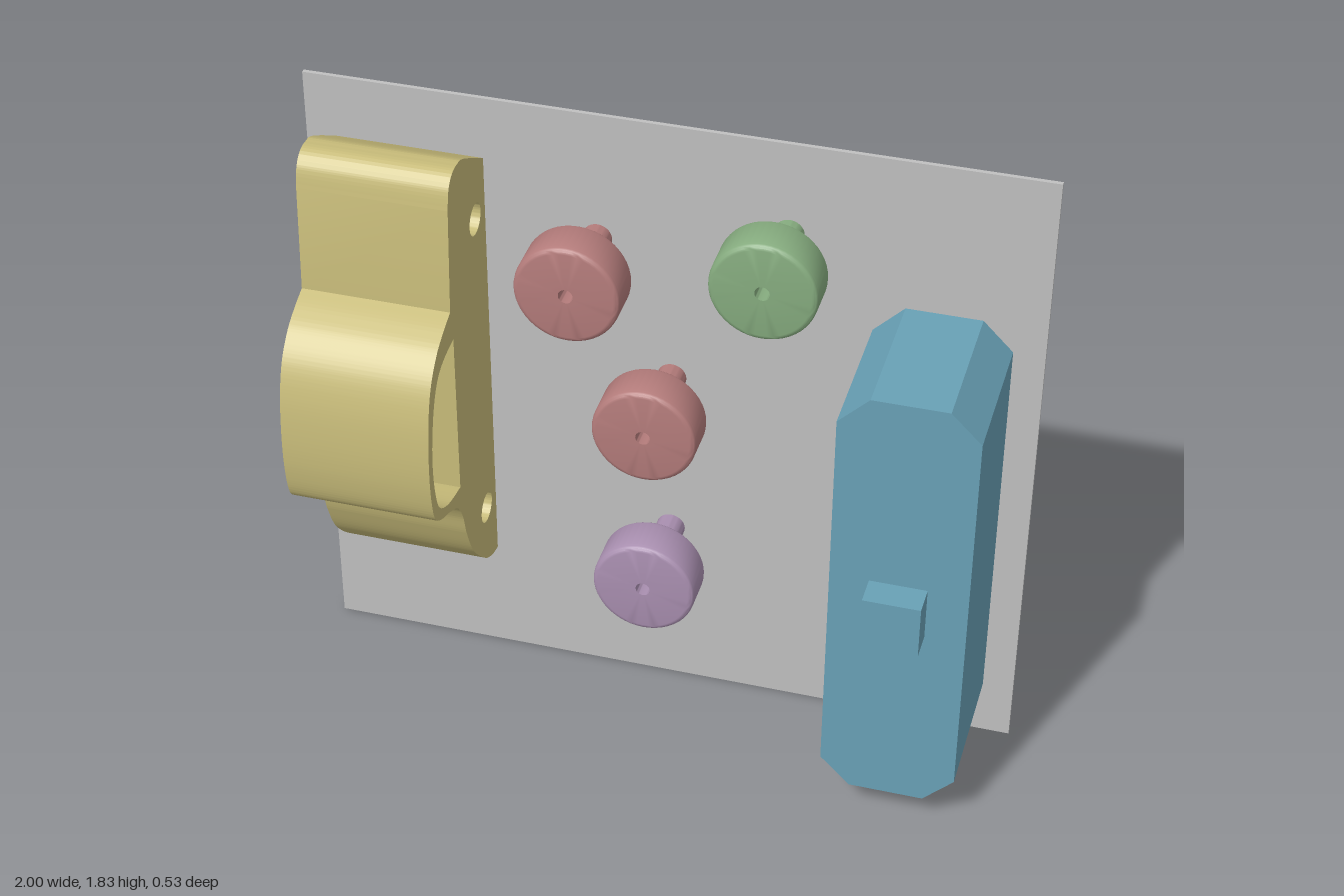
import * as THREE from 'three';
import { toCreasedNormals } from 'three/addons/utils/BufferGeometryUtils.js';

const paint = (name, color) => {
  const m = new THREE.MeshStandardMaterial({ color });
  m.name = name;
  return m;
};

const BACK = -0.25; // front surface of the board, where every part is mounted

export function createModel() {
  const grey = paint('grey', 0xc0c0c0);
  const tan = paint('tan', 0xc8bc7a);
  const red = paint('red', 0xb47c7b);
  const green = paint('green', 0x86ac7f);
  const purple = paint('purple', 0xa98fb0);
  const blue = paint('blue', 0x69a1b6);

  const model = new THREE.Group();
  model.name = 'wallPanel';
  const add = (name, geometry, material, x = 0, y = 0, z = 0) => {
    const mesh = new THREE.Mesh(geometry, material);
    mesh.name = name;
    mesh.position.set(x, y, z);
    model.add(mesh);
    return mesh;
  };
  const vectors = (points) => points.map(([x, y]) => new THREE.Vector2(x, y));

  // Backing board
  add('board', new THREE.BoxGeometry(2, 1.83, 0.012), grey, 0, 0.915, BACK - 0.006);

  // Holder: side profile (z, y) swept across its width
  const profile = new THREE.Shape();
  profile.moveTo(BACK, 0.345);
  profile.splineThru(vectors([[-0.2, 0.355], [-0.14, 0.39], [-0.05, 0.485], [0.0, 0.585], [0.025, 0.665],
    [0.06, 0.72], [0.12, 0.755], [0.195, 0.785], [0.24, 0.825], [0.26, 0.91], [0.263, 1.02],
    [0.25, 1.14], [0.22, 1.235], [0.167, 1.3], [0.11, 1.335], [0.05, 1.36]]));
  profile.lineTo(0.033, 1.66);
  profile.splineThru(vectors([[0.02, 1.715], [-0.01, 1.745], [-0.05, 1.75], [-0.1, 1.737], [BACK, 1.65]]));
  profile.closePath();

  // Grip opening
  const grip = new THREE.Path();
  grip.moveTo(0.035, 1.265);
  grip.splineThru(vectors([[0.11, 1.255], [0.167, 1.225], [0.205, 1.16], [0.23, 1.06],
    [0.235, 0.97], [0.222, 0.88], [0.195, 0.825], [0.13, 0.79], [0.035, 0.775]]));
  grip.closePath();
  profile.holes.push(grip);

  // Cross holes above and below the grip
  for (const y of [1.51, 0.55]) {
    const hole = new THREE.Path();
    hole.absarc(-0.17, y, 0.045, 0, Math.PI * 2, true);
    profile.holes.push(hole);
  }
  const holderGeometry = new THREE.ExtrudeGeometry(profile, { depth: 0.41, bevelEnabled: false, curveSegments: 40 });
  holderGeometry.rotateY(-Math.PI / 2);
  add('holder', toCreasedNormals(holderGeometry, 0.5), tan, -0.51);

  // Knobs: stem, rounded wheel and a centre bore, turned around the z axis
  const wheelProfile = [[0.04, BACK], [0.04, -0.087], [0.127, -0.087]];
  for (const [centre, start] of [[-0.071, -90], [0.022, 0]]) {
    for (let i = 0; i <= 4; i++) {
      const a = THREE.MathUtils.degToRad(start + i * 22.5);
      wheelProfile.push([0.127 + 0.016 * Math.cos(a), centre + 0.016 * Math.sin(a)]);
    }
  }
  wheelProfile.push([0.02, 0.038], [0.02, BACK]);
  const lathe = new THREE.LatheGeometry(vectors(wheelProfile), 48);
  lathe.rotateX(Math.PI / 2);
  const knobGeometry = toCreasedNormals(lathe, 0.6);
  const knobs = [
    ['upperRedKnob', red, -0.2, 1.46],
    ['middleRedKnob', red, 0.005, 1.05],
    ['purpleKnob', purple, 0.005, 0.535],
    ['greenKnob', green, 0.315, 1.565],
  ];
  for (const [name, material, x, y] of knobs) add(name, knobGeometry, material, x, y);

  // Chamfered casing and its square button
  const [w, h, c] = [0.185, 0.6525, 0.083];
  const octagon = new THREE.Shape(vectors([[c - w, -h], [w - c, -h], [w, c - h], [w, h - c],
    [w - c, h], [c - w, h], [-w, h - c], [-w, c - h]]));
  add('casing', new THREE.ExtrudeGeometry(octagon, { depth: 0.415, bevelEnabled: false }), blue, 0.73, 0.7375, BACK);
  add('button', new THREE.BoxGeometry(0.155, 0.155, 0.083), blue, 0.728, 0.738, 0.2065);

  return model;
}
